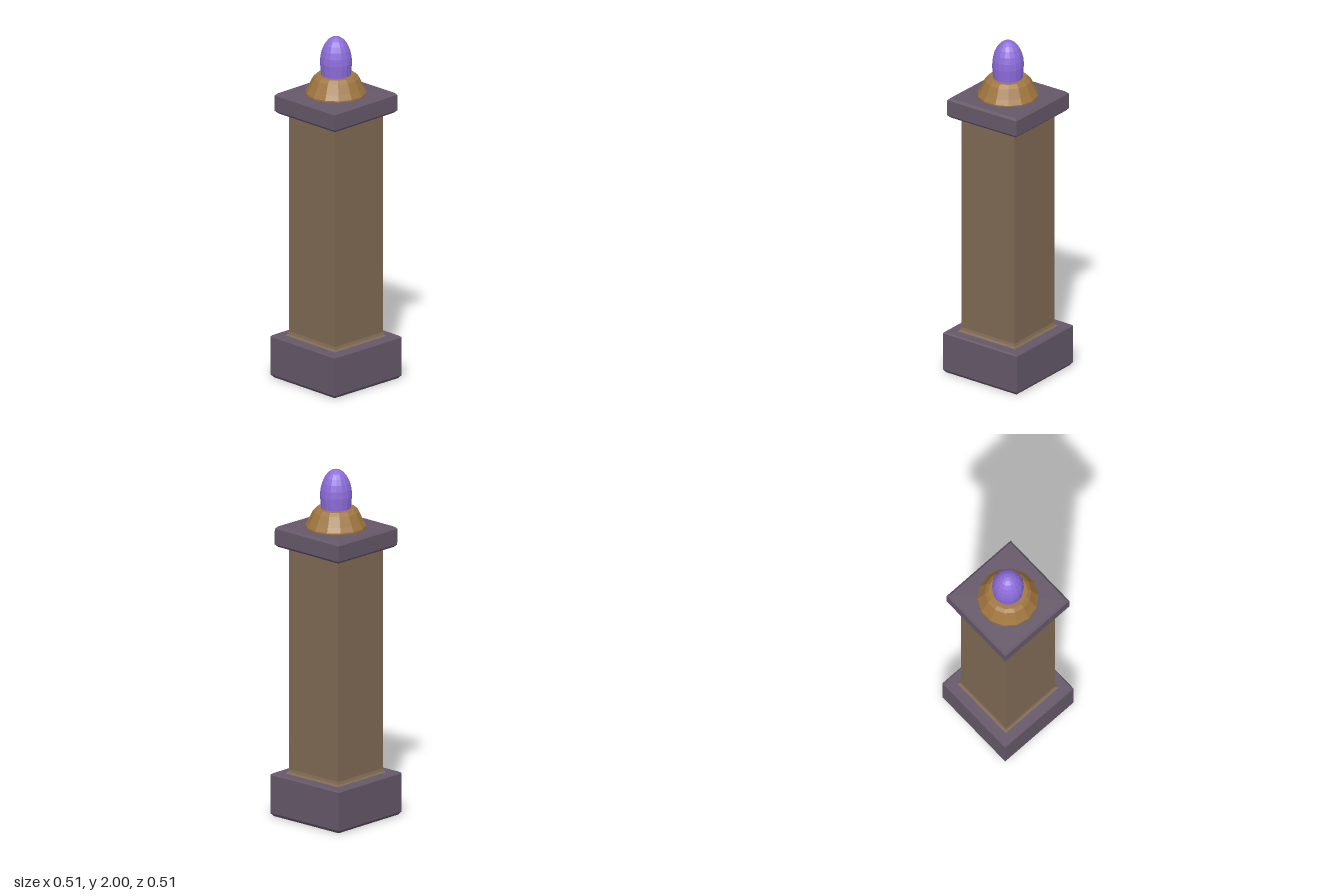
import * as THREE from 'three';

const paint = (name, color) => {
  const m = new THREE.MeshStandardMaterial({ color });
  m.name = name;
  return m;
};

// Faceted solid of revolution from [radius, height] pairs, bottom to top
function turned(name, profile, sides, material, start = 0) {
  const points = profile.map(([r, y]) => new THREE.Vector2(r, y));
  const geometry = new THREE.LatheGeometry(points, sides, start).toNonIndexed();
  geometry.computeVertexNormals();
  const mesh = new THREE.Mesh(geometry, material);
  mesh.name = name;
  return mesh;
}

// Square block: profile gives half widths
const square = (name, profile, material) =>
  turned(name, profile.map(([h, y]) => [h * Math.SQRT2, y]), 4, material, Math.PI / 4);

export function createModel() {
  const stone = paint('purple grey stone', 0x655869);
  const brown = paint('brown shaft', 0x806a54);
  const bronze = paint('bronze', 0xa0763f);
  const violet = paint('violet crystal', 0x8d6ddb);

  const pillar = new THREE.Group();
  pillar.name = 'pillar';

  // Plinth with a chamfered lower edge
  pillar.add(square('base',
    [[0, 0], [0.243, 0], [0.257, 0.018], [0.257, 0.238], [0.25, 0.246], [0, 0.246]], stone));

  // Shaft flaring slightly at both ends
  pillar.add(square('shaft',
    [[0.2, 0.244], [0.188, 0.255], [0.183, 0.27], [0.183, 1.535], [0.188, 1.545], [0.2, 1.552]], brown));

  // Chamfered capital, slightly crooked
  const capital = square('capital',
    [[0, -0.06], [0.225, -0.06], [0.24, -0.045], [0.24, 0.045], [0.228, 0.058], [0, 0.062]], stone);
  capital.position.y = 1.61;
  capital.rotation.set(0.01, 0, 0.01);
  pillar.add(capital);

  // Round collar
  pillar.add(turned('collar',
    [[0, 1.66], [0.17, 1.66], [0.17, 1.678], [0.155, 1.705], [0.128, 1.76], [0.108, 1.778], [0, 1.782]],
    14, bronze));

  // Domed crystal
  const dome = [[0, 1.765], [0.082, 1.765], [0.089, 1.85]];
  for (let i = 1; i <= 6; i++) {
    const a = (i / 6) * Math.PI / 2;
    dome.push([i === 6 ? 0 : 0.089 * Math.cos(a), 1.85 + 0.15 * Math.sin(a)]);
  }
  pillar.add(turned('crystal', dome, 16, violet));

  return pillar;
}
